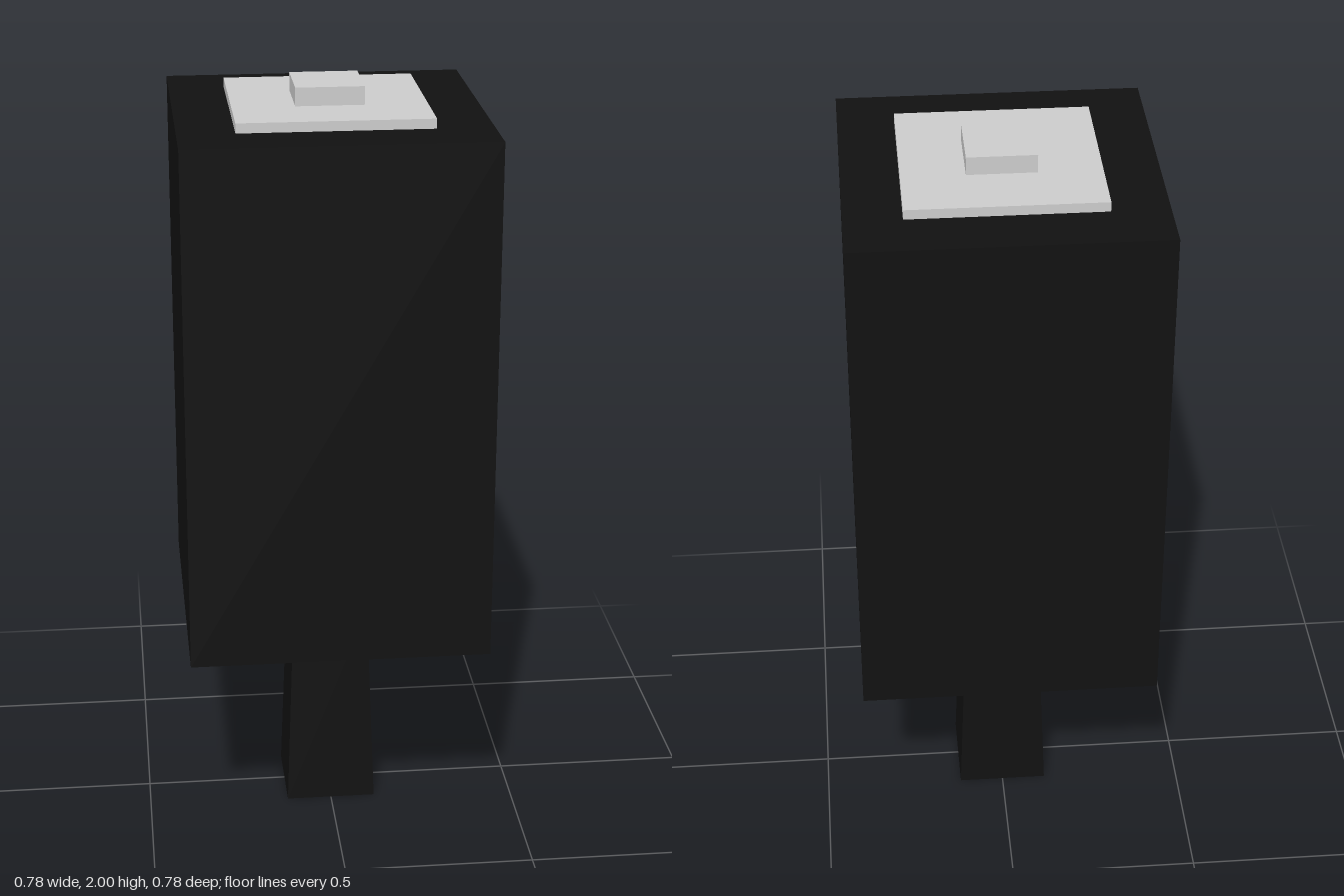
import * as THREE from 'three';

export function createModel() {
  const model = new THREE.Group();
  const black = new THREE.MeshStandardMaterial({ color: 0x111111, flatShading: true });
  const grey = new THREE.MeshStandardMaterial({ color: 0xcccccc, flatShading: true });

  // Square block or taper standing between two heights
  function addBlock(name, bottomWidth, topWidth, y0, y1, material) {
    const geometry = new THREE.CylinderGeometry(
      topWidth * Math.SQRT1_2, bottomWidth * Math.SQRT1_2, y1 - y0, 4);
    geometry.rotateY(Math.PI / 4);
    const mesh = new THREE.Mesh(geometry, material);
    mesh.name = name;
    mesh.position.y = (y0 + y1) / 2;
    model.add(mesh);
  }

  addBlock('handle', 0.24, 0.2, 0, 0.562, black);        // tapered grip
  addBlock('head', 0.78, 0.78, 0.562, 1.928, black);     // large block
  addBlock('topPlate', 0.492, 0.492, 1.928, 1.953, grey);
  addBlock('topKnob', 0.174, 0.174, 1.953, 2, grey);

  return model;
}
